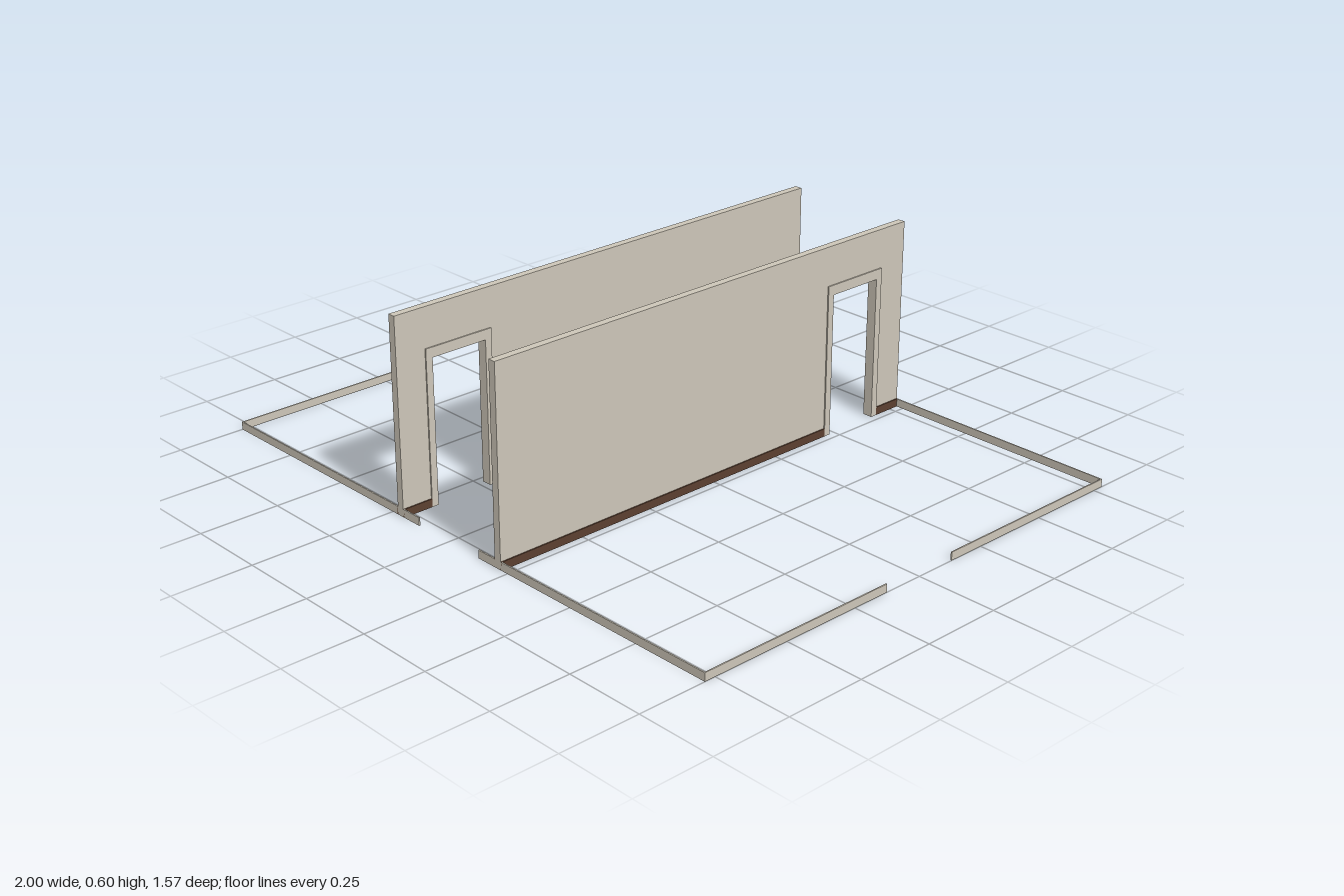
import * as THREE from 'three';

const plaster = new THREE.MeshStandardMaterial({ color: 0xcdc6b8 });
plaster.name = 'warm grey plaster';
const wood = new THREE.MeshStandardMaterial({ color: 0x5c4030 });
wood.name = 'dark brown wood';

const END = 0.785;                        // half length of the walls
const WALL_H = 0.6, WALL_T = 0.024, TRIM_T = 0.004;
const DOOR_NEAR = -0.48, DOOR_FAR = -0.665, DOOR_H = 0.447;
const SKIRT_H = 0.025;

// Box given by its limits on each axis
function block(name, material, [x0, x1], [y0, y1], [z0, z1]) {
  const mesh = new THREE.Mesh(new THREE.BoxGeometry(x1 - x0, y1 - y0, z1 - z0), material);
  mesh.position.set((x0 + x1) / 2, (y0 + y1) / 2, (z0 + z1) / 2);
  mesh.name = name;
  return mesh;
}

// Outline in (-z, y), extruded along x and centred on x = 0
function slab(name, points, thickness) {
  const shape = new THREE.Shape(points.map(([z, y]) => new THREE.Vector2(-z, y)));
  const geometry = new THREE.ExtrudeGeometry(shape, { depth: thickness, bevelEnabled: false });
  geometry.translate(0, 0, -thickness / 2).rotateY(Math.PI / 2);
  const mesh = new THREE.Mesh(geometry, plaster);
  mesh.name = name;
  return mesh;
}

// Corridor wall with a doorway near its back end
function corridorWall() {
  const wall = new THREE.Group();
  wall.add(slab('wallPanel', [
    [END, 0], [DOOR_NEAR, 0], [DOOR_NEAR, DOOR_H], [DOOR_FAR, DOOR_H],
    [DOOR_FAR, 0], [-END, 0], [-END, WALL_H], [END, WALL_H],
  ], WALL_T));

  // Door casing wraps both faces of the wall
  const near = -0.458, far = -0.687, top = 0.478;
  wall.add(slab('doorCasing', [
    [near, 0], [DOOR_NEAR, 0], [DOOR_NEAR, DOOR_H], [DOOR_FAR, DOOR_H],
    [DOOR_FAR, 0], [far, 0], [far, top], [near, top],
  ], WALL_T + 2 * TRIM_T));

  // Brown baseboards on both faces, either side of the door
  for (const side of [-1, 1]) {
    const a = side * WALL_T / 2, b = side * (WALL_T / 2 + TRIM_T);
    const x = [Math.min(a, b), Math.max(a, b)];
    wall.add(block('baseboardLong', wood, x, [0, SKIRT_H], [near, END]));
    wall.add(block('baseboardShort', wood, x, [0, SKIRT_H], [-END, far]));
  }
  return wall;
}

export function createModel() {
  const model = new THREE.Group();
  model.name = 'corridorWalls';

  // Two walls, each the other turned half way round
  const leftWall = corridorWall();
  leftWall.name = 'leftWall';
  leftWall.position.x = 0.211;
  const rightWall = corridorWall();
  rightWall.name = 'rightWall';
  rightWall.position.x = -0.213;
  rightWall.rotation.y = Math.PI;
  model.add(leftWall, rightWall);

  // Perimeter skirting, with a gap in the middle of every side
  const skirting = new THREE.Group();
  skirting.name = 'perimeterSkirting';
  const y = [0, SKIRT_H], t = 0.004;
  for (const z of [[-END, -END + t], [END - t, END]]) {
    skirting.add(block('skirtingRight', plaster, [-1, -0.13], y, z));
    skirting.add(block('skirtingLeft', plaster, [0.13, 1], y, z));
  }
  for (const [x, back, front] of [[[-1, -1 + t], -0.19, 0.18], [[1 - t, 1], -0.13, 0.128]]) {
    skirting.add(block('skirtingBack', plaster, x, y, [-END, back]));
    skirting.add(block('skirtingFront', plaster, x, y, [front, END]));
  }
  model.add(skirting);
  return model;
}
